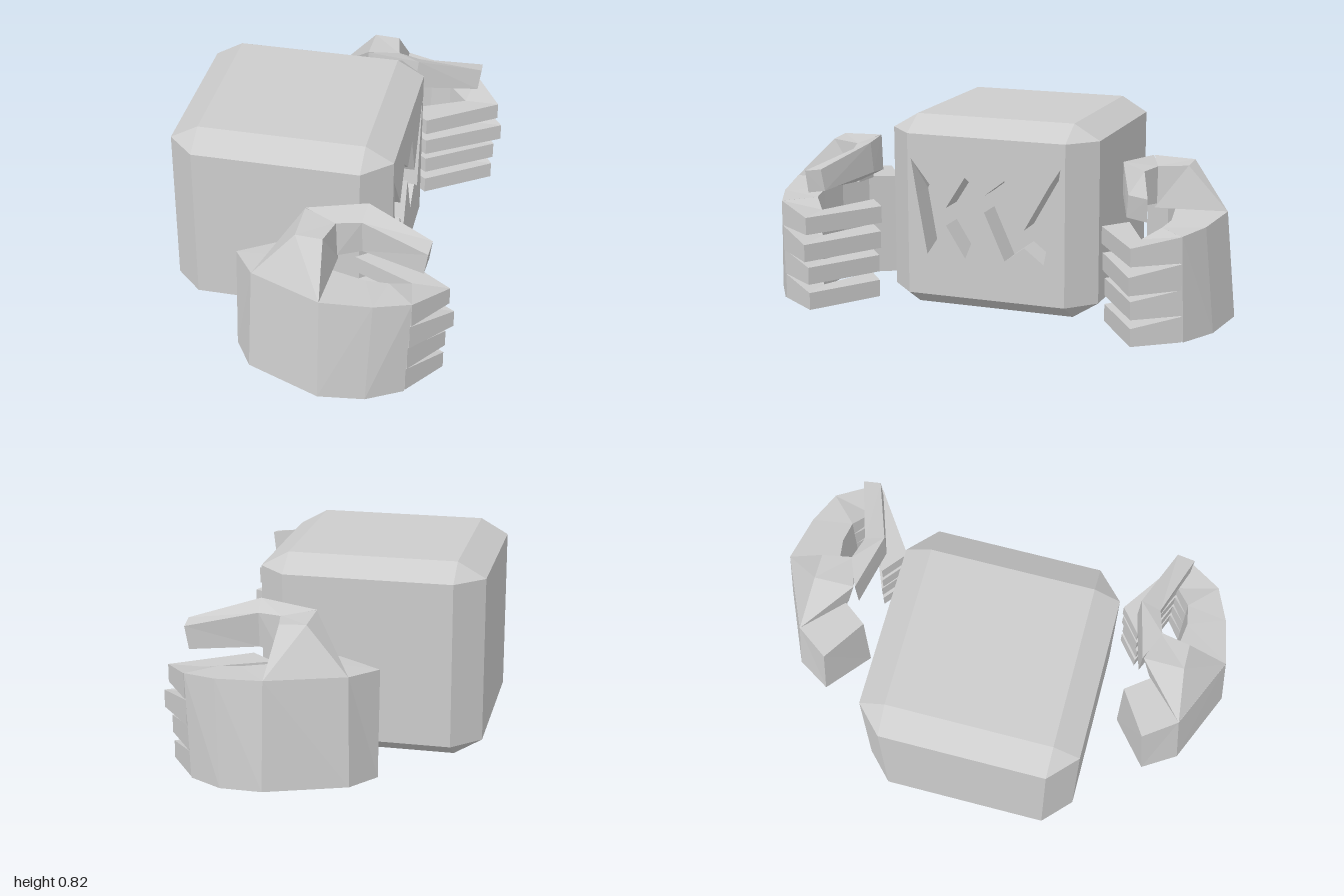
import * as THREE from 'three';
import { mergeGeometries } from 'three/addons/utils/BufferGeometryUtils.js';

// Skin between matching loops of points; loops run clockwise seen from the far end.
function loft(sections, startCap = true, endCap = true, side = 1) {
  const pos = [];
  const tri = (a, b, c) => {
    const pts = side > 0 ? [a, b, c] : [a, c, b];
    for (const p of pts) pos.push(p[0], p[1], p[2] * side);
  };
  const n = sections[0].length;
  for (let s = 0; s + 1 < sections.length; s++) {
    const a = sections[s], b = sections[s + 1];
    for (let i = 0; i < n; i++) {
      const j = (i + 1) % n;
      tri(a[i], b[i], b[j]);
      tri(a[i], b[j], a[j]);
    }
  }
  const first = sections[0], last = sections[sections.length - 1];
  for (let i = 1; i + 1 < n; i++) {
    if (startCap) tri(first[0], first[i], first[i + 1]);
    if (endCap) tri(last[0], last[i + 1], last[i]);
  }
  const g = new THREE.BufferGeometry();
  g.setAttribute('position', new THREE.Float32BufferAttribute(pos, 3));
  g.computeVertexNormals();
  return g;
}

// Flat panel facing +x; shape coordinates are (-z, y)
function panel(shape, x) {
  const g = new THREE.ShapeGeometry(shape).rotateY(Math.PI / 2).translate(x, 0, 0).toNonIndexed();
  g.deleteAttribute('uv');
  return g;
}

// Chamfered block
const X0 = -0.62, X1 = -0.505, X2 = 0.185, X3 = 0.3;
const octagon = x => [[.36, .82], [-.33, .82], [-.44, .755], [-.44, .07],
  [-.33, 0], [.36, 0], [.47, .07], [.47, .755]].map(([z, y]) => [x, y, z]);
const inset = x => octagon(x).map(([, y, z]) => [
  x, Math.min(.755, Math.max(.07, y)), Math.min(.36, Math.max(-.33, z))]);

// Jagged mouth outline as (z, y), clockwise; points 0 and 10 are the two corners
const MOUTH = [[.345, .65], [.285, .575], [.19, .45], [.105, .585], [.02, .515], [-.07, .585],
  [-.155, .385], [-.245, .545], [-.262, .575], [-.285, .615], [-.31, .65], [-.29, .51],
  [-.24, .245], [-.155, .31], [-.07, .245], [.02, .445], [.105, .24], [.19, .375],
  [.275, .245], [.32, .5]].filter((_, i) => i !== 9);
const CORNERS = [0, 9], DEPTH = 0.12;

function body(material) {
  const group = new THREE.Group();
  group.name = 'body';
  const flat = MOUTH.map(([z, y]) => new THREE.Vector2(-z, y));

  const face = new THREE.Shape([[-.36, .07], [.33, .07], [.33, .755], [-.36, .755]]
    .map(p => new THREE.Vector2(...p)));
  face.holes.push(new THREE.Path([...flat, flat[0]]));
  const shell = mergeGeometries([
    loft([inset(X0), octagon(X1), octagon(X2), inset(X3)], true, false),
    panel(face, X3),
  ]);
  const block = new THREE.Mesh(shell, material);
  block.name = 'block';

  // Mouth recess, shallow at the corners
  const front = MOUTH.map(([z, y]) => [X3, y, z]);
  const back = front.map(([x, y, z], i) => [CORNERS.includes(i) ? x : x - DEPTH, y, z]);
  const n = back.length;
  const parts = [
    loft([front, back], false, false),
    panel(new THREE.Shape(flat.filter((_, i) => !CORNERS.includes(i))), X3 - DEPTH),
    ...CORNERS.map(i => loft([[back[i], back[(i + n - 1) % n], back[(i + 1) % n]]], true, false)),
  ];
  const mouth = new THREE.Mesh(mergeGeometries(parts), material);
  mouth.name = 'mouth';
  group.add(block, mouth);
  return group;
}

// Cupped hand; side is +1 for the front one and -1 for the back one
function hand(side, material) {
  const group = new THREE.Group();
  group.name = side > 0 ? 'frontHand' : 'backHand';
  const add = (name, sections) => {
    const mesh = new THREE.Mesh(loft(sections, true, true, side), material);
    mesh.name = name;
    group.add(mesh);
  };

  // Palm: outer top, inner top, inner bottom, outer bottom
  add('palm', [
    [[-.265, .475, .69], [-.08, .475, .57], [-.08, .04, .57], [-.265, .04, .725]],
    [[-.17, .485, .825], [0, .485, .68], [0, .045, .68], [-.18, .05, .865]],
    [[.13, .495, .96], [.13, .49, .745], [.13, .055, .745], [.13, .06, 1]],
    [[.33, .475, .92], [.27, .475, .765], [.27, .04, .765], [.31, .04, .955]],
    [[.47, .465, .86], [.36, .465, .75], [.36, .035, .75], [.45, .035, .87]],
  ]);

  // Curled fingers, top to bottom: knuckle reach, bottom height, tip z
  [[.59, .36, .485], [.61, .25, .49], [.58, .145, .5], [.575, .035, .5]]
    .forEach(([reach, y, tip], i) => {
      const ring = (xo, zo, xi, zi, h) =>
        [[xo, y + h, zo], [xi, y + h, zi], [xi, y, zi], [xo, y, zo]];
      add('finger' + (i + 1), [
        ring(.47 - i * .006, .862, .36, .75, .105),
        ring(reach, .69, .44, .69, .073),
        ring(.295, tip, .19, tip + .085, .072),
      ]);
    });

  // Thumb base rising from the palm
  add('thumbBase', [
    [[-.17, .483, .825], [0, .48, .66], [.14, .488, .66], [.13, .494, .96]],
    [[0, .67, .79], [0, .675, .62], [.135, .658, .66], [.108, .665, .79]],
  ]);
  // Thumb bending over the fingers
  add('thumb', [
    [[.13, .658, .67], [0, .675, .615], [0, .52, .61], [.135, .505, .67]],
    [[.23, .655, .64], [.24, .69, .555], [.225, .56, .55], [.23, .512, .63]],
    [[.505, .61, .73], [.51, .622, .655], [.497, .53, .645], [.49, .515, .725]],
  ]);
  return group;
}

export function createModel() {
  const stone = new THREE.MeshStandardMaterial({ color: 0xcccccc });
  stone.name = 'light grey';
  stone.flatShading = true;
  const model = new THREE.Group();
  model.name = 'blockCreature';
  model.add(body(stone), hand(1, stone), hand(-1, stone));
  return model;
}
